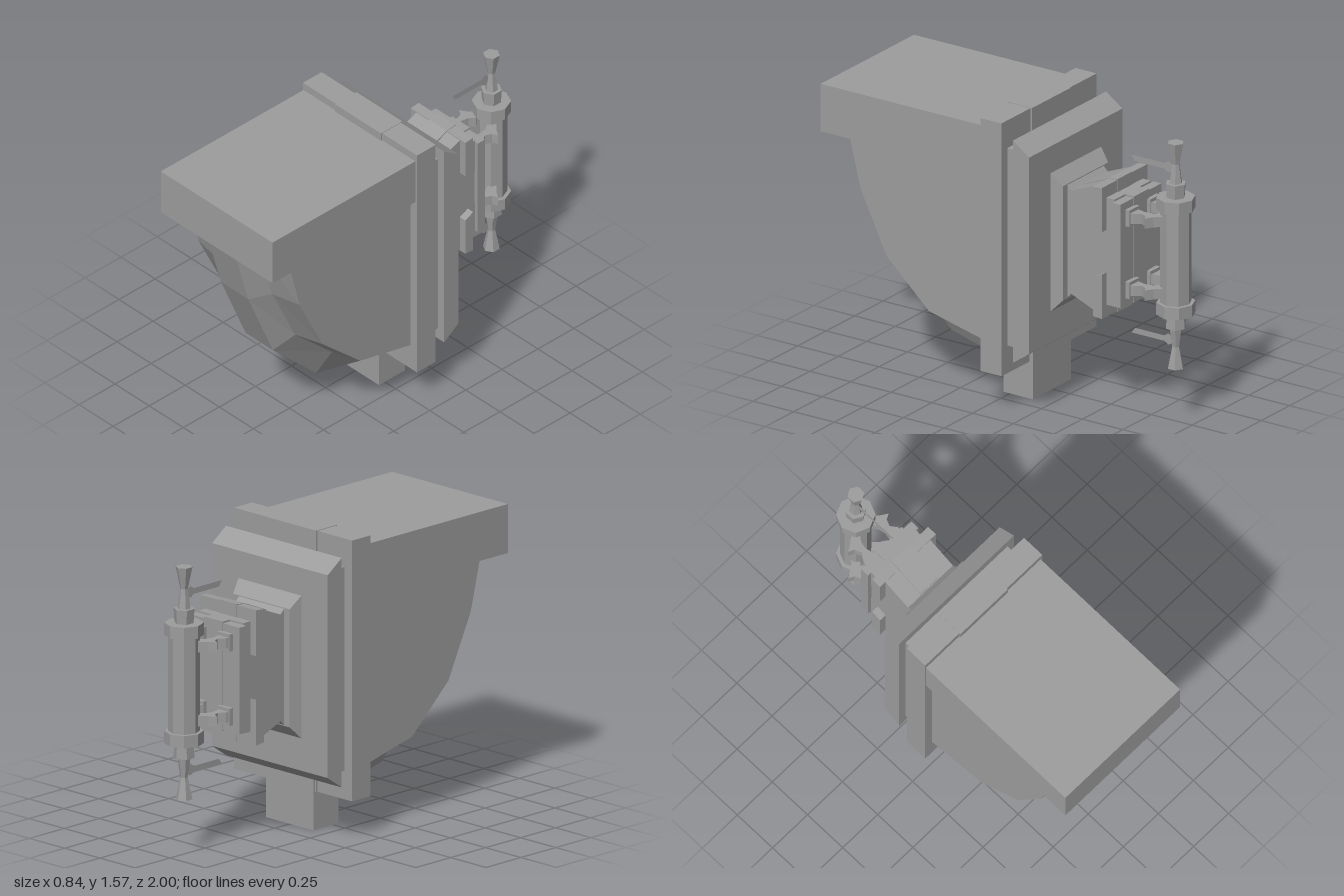
import * as THREE from 'three';

const material = new THREE.MeshStandardMaterial({ color: 0x9c9c9c, flatShading: true, side: THREE.DoubleSide });

function add(parent, name, geometry, x = 0, y = 0, z = 0) {
  const mesh = new THREE.Mesh(geometry, material);
  mesh.name = name;
  mesh.position.set(x, y, z);
  parent.add(mesh);
  return mesh;
}

// Box given by its limits on each axis
function block(parent, name, x0, x1, y0, y1, z0, z1) {
  return add(parent, name, new THREE.BoxGeometry(x1 - x0, y1 - y0, z1 - z0),
    (x0 + x1) / 2, (y0 + y1) / 2, (z0 + z1) / 2);
}

const shapeOf = points => new THREE.Shape(points.map(p => new THREE.Vector2(...p)));

// Side profile of [z, y] points, extruded across x
function profile(parent, name, points, width) {
  const g = new THREE.ExtrudeGeometry(shapeOf(points), { depth: width, bevelEnabled: false });
  g.translate(0, 0, -width / 2).rotateY(-Math.PI / 2);
  return add(parent, name, g);
}

// Four-sided block tapering towards the back; each end is [halfX, y0, y1, z]
function taper(parent, name, front, back) {
  const g = new THREE.BoxGeometry(2, 1, 1);
  const p = g.attributes.position;
  for (let i = 0; i < p.count; i++) {
    const [hx, y0, y1, z] = p.getZ(i) > 0 ? front : back;
    p.setXYZ(i, p.getX(i) * hx, p.getY(i) > 0 ? y1 : y0, z);
  }
  g.computeVertexNormals();
  return add(parent, name, g);
}

// Ribbed corbel: faceted curves joined across the width, closed by side walls
function corbelGeometry() {
  const edge = [[0.85, 1.28], [0.78, 1], [0.62, 0.67], [0.36, 0.43], [0, 0.345]];
  const valley = [[0.885, 1.28], [0.8, 0.98], [0.64, 0.64], [0.385, 0.4], [0, 0.305]];
  const ridge = [[0.975, 1.28], [0.88, 0.94], [0.71, 0.53], [0.41, 0.23], [0.03, 0.13]];
  const columns = [[-0.37, edge], [-0.19, valley], [-0.1, ridge], [0.1, ridge], [0.19, valley], [0.37, edge]];
  const v = [];
  const at = (c, r) => [columns[c][0], columns[c][1][r][1], columns[c][1][r][0]];
  for (let r = 0; r < 4; r++) {
    for (let c = 0; c < 5; c++) {
      v.push(...at(c, r), ...at(c, r + 1), ...at(c + 1, r + 1));
      v.push(...at(c, r), ...at(c + 1, r + 1), ...at(c + 1, r));
    }
    v.push(-0.37, 1.28, 0, ...at(0, r), ...at(0, r + 1));
    v.push(0.37, 1.28, 0, ...at(5, r + 1), ...at(5, r));
  }
  const g = new THREE.BufferGeometry();
  g.setAttribute('position', new THREE.Float32BufferAttribute(v, 3));
  g.computeVertexNormals();
  return g;
}

// Curved hinge arm, drawn in plan as [x, depth behind] and given a height
function armGeometry() {
  const outline = [[0.05, 0.7], [0.13, 0.7], [0.125, 0.725], [0.1, 0.76], [0.115, 0.795],
    [0.145, 0.81], [0.105, 0.835], [0.07, 0.87], [0.04, 0.83], [0.062, 0.8], [0.07, 0.76], [0.06, 0.72]];
  const g = new THREE.ExtrudeGeometry(shapeOf(outline), { depth: 0.055, bevelEnabled: false });
  return g.translate(0, 0, -0.0275).rotateX(-Math.PI / 2);
}

export function createModel() {
  const model = new THREE.Group();
  model.name = 'wallBracket';

  // Shelf, corbel and wall plates
  block(model, 'shelf', -0.415, 0.405, 1.27, 1.527, 0, 1);
  add(model, 'corbel', corbelGeometry());
  block(model, 'wallPlate', -0.42, 0.417, 0.2, 1.57, -0.12, 0.01);
  block(model, 'plateStrip', -0.175, 0.162, 0.2, 1.573, -0.13, 0.018);
  block(model, 'keyBlock', -0.165, 0.17, 0, 0.27, -0.14, 0.04);
  block(model, 'spacerPlate', -0.365, 0.365, 0.35, 1.42, -0.2, -0.11);
  profile(model, 'bevelledPlate',
    [[-0.185, 0.285], [-0.185, 1.49], [-0.285, 1.42], [-0.285, 0.355]], 0.82);

  // Stepped neck
  taper(model, 'neckBase', [0.225, 0.52, 1.28, -0.28], [0.2, 0.59, 1.21, -0.345]);
  block(model, 'neck', -0.16, 0.16, 0.62, 1.18, -0.63, -0.34);
  block(model, 'backPlate', -0.18, 0.18, 0.62, 1.18, -0.685, -0.635);
  block(model, 'backStrip', -0.065, 0.065, 0.615, 1.19, -0.69, -0.6);

  // Details mirrored about the mid height of the neck
  const middle = 0.9;
  for (const s of [1, -1]) {
    const Y = y => middle + s * (y - middle);
    const span = (a, b) => [Math.min(Y(a), Y(b)), Math.max(Y(a), Y(b))];
    const flip = points => points.map(([z, y]) => [z, Y(y)]);

    profile(model, 'neckWedge', flip([[-0.34, 1.21], [-0.37, 1.18], [-0.53, 1.245],
      [-0.55, 1.245], [-0.55, 1.1], [-0.34, 1.1]]), 0.32);
    profile(model, 'neckRib', flip([[-0.375, 1.188], [-0.53, 1.253], [-0.588, 1.26],
      [-0.588, 1.1], [-0.375, 1.1]]), 0.13);
    profile(model, 'clampBlock', flip([[-0.53, 1.25], [-0.585, 1.255], [-0.585, 1.015],
      [-0.53, 1.04]]), 0.4);
    block(model, 'clampStep', -0.16, 0.16, ...span(1.0, 1.19), -0.635, -0.58);

    // Hinge pads and arms
    for (const m of [1, -1]) {
      const x = 0.092 * m;
      block(model, 'hingePad', x - 0.043, x + 0.043, ...span(1.05, 1.14), -0.71, -0.68);
      const arm = add(model, 'hingeArm', armGeometry(), 0, Y(1.095), 0);
      arm.scale.x = m;
    }

    // Collar, nut, flared finial and thin lever at each end of the spindle
    const end = new THREE.Group();
    end.name = s > 0 ? 'upperSpindleEnd' : 'lowerSpindleEnd';
    end.position.set(0, middle, -0.9);
    if (s < 0) end.rotation.z = Math.PI;
    model.add(end);
    add(end, 'collar', new THREE.CylinderGeometry(0.1, 0.1, 0.065, 8), 0, 0.284);
    add(end, 'nut', new THREE.CylinderGeometry(0.055, 0.05, 0.075, 6), 0, 0.354);
    const flare = [[0, 0.38], [0.036, 0.38], [0.02, 0.495], [0.044, 0.61], [0, 0.61]];
    add(end, 'finial', new THREE.LatheGeometry(flare.map(p => new THREE.Vector2(...p)), 6));
    const lever = [[0.02, 0.452], [0.045, 0.435], [0.07, 0.452], [0.25, 0.452],
      [0.272, 0.482], [0.07, 0.482], [0.045, 0.498], [0.02, 0.482]];
    add(end, 'lever', new THREE.ShapeGeometry(shapeOf(lever)).rotateY(-Math.PI / 2));
  }

  // Spindle barrel
  add(model, 'spindleBarrel', new THREE.CylinderGeometry(0.08, 0.08, 0.56, 8), 0, middle, -0.9);
  return model;
}
